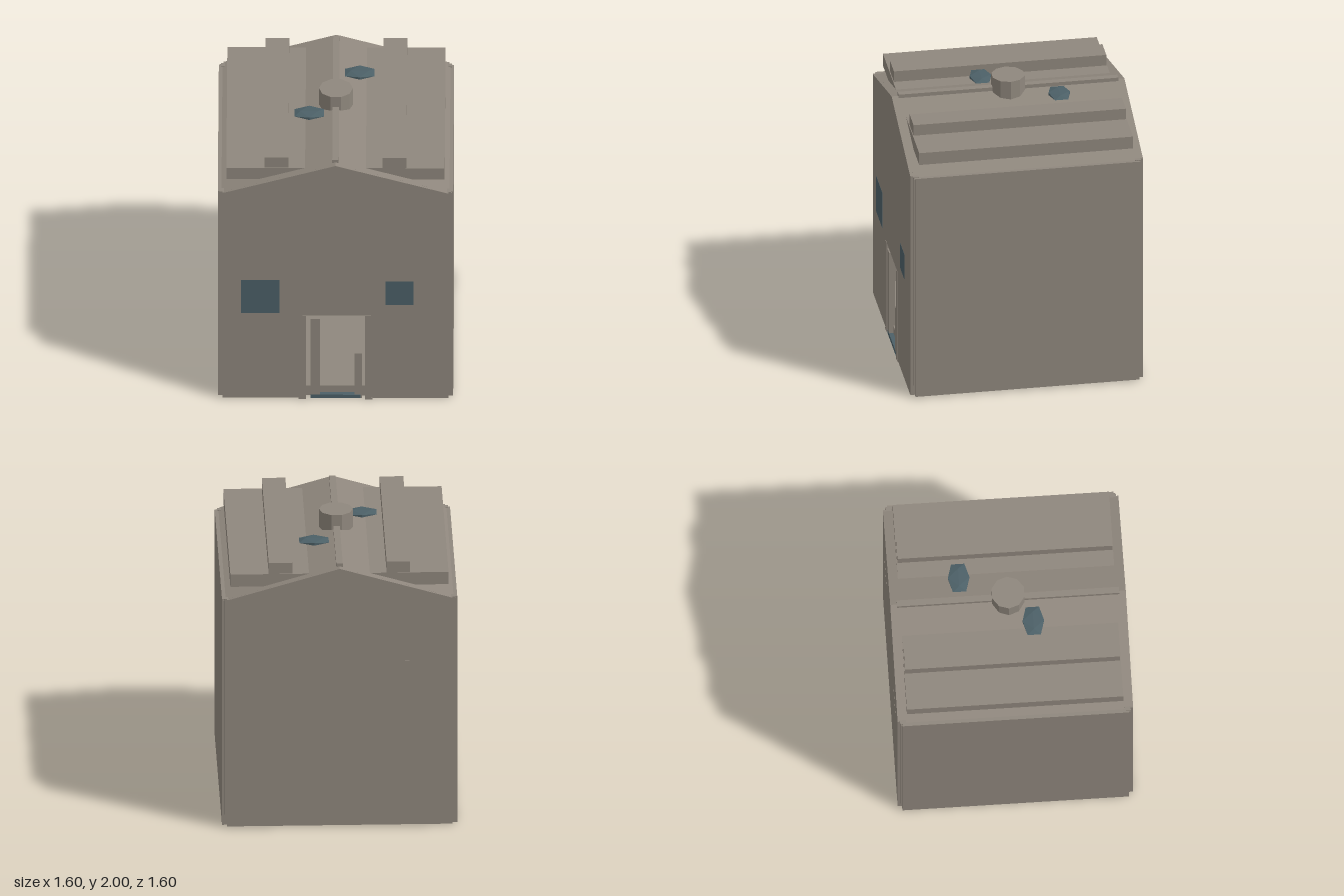
import * as THREE from 'three';

const stone = new THREE.MeshStandardMaterial({ color: 0x8f877d });
stone.name = 'stone';
const slate = new THREE.MeshStandardMaterial({ color: 0x4c6067 });
slate.name = 'slate';
stone.flatShading = slate.flatShading = true;

export function createModel() {
  const model = new THREE.Group();
  model.name = 'house';

  const add = (name, geometry, material = stone) => {
    const mesh = new THREE.Mesh(geometry, material);
    mesh.name = name;
    model.add(mesh);
    return mesh;
  };
  // Box given by its limits on each axis
  const box = (name, [x0, x1], [y0, y1], [z0, z1], material) => {
    const mesh = add(name, new THREE.BoxGeometry(x1 - x0, y1 - y0, z1 - z0), material);
    mesh.position.set((x0 + x1) / 2, (y0 + y1) / 2, (z0 + z1) / 2);
    return mesh;
  };
  // Outline in x and y pushed along z
  const prism = (name, points, z0, z1) => {
    const shape = new THREE.Shape(points.map(([x, y]) => new THREE.Vector2(x, y)));
    const geometry = new THREE.ExtrudeGeometry(shape, { depth: z1 - z0, bevelEnabled: false });
    geometry.translate(0, 0, z0);
    return add(name, geometry);
  };
  // Flat faceted patch
  const patch = (x, y, z, rx, ry, rz) => {
    const mesh = add('patch', new THREE.IcosahedronGeometry(1, 0), slate);
    mesh.scale.set(rx, ry, rz);
    mesh.position.set(x, y, z);
  };

  // Floor and walls, with a doorway cut in the front
  box('floor', [-0.77, 0.77], [0.01, 0.09], [-0.77, 0.77]);
  prism('frontWall', [
    [-0.765, 0.01], [-0.2, 0.01], [-0.2, 0.68], [0.2, 0.68], [0.2, 0.01],
    [0.765, 0.01], [0.765, 1.68], [-0.765, 1.68],
  ], 0.75, 0.8);
  box('backWall', [-0.765, 0.765], [0.01, 1.68], [-0.8, -0.75]);
  for (const s of [-1, 1]) {
    const span = s > 0 ? [0.75, 0.798] : [-0.798, -0.75];
    box('sideWall', span, [0.01, 1.675], [-0.77, 0.77]);
    for (const t of [-1, 1]) {
      const post = box('cornerPost', [-0.02, 0.02], [0.09, 1.68], [-0.02, 0.02]);
      post.position.x = s * 0.763;
      post.position.z = t * 0.763;
    }
  }

  // Doorway: jambs, uneven inner posts and sill
  for (const s of [-1, 1]) {
    const jamb = box('doorJamb', [-0.02, 0.02], [0.003, 0.68], [0.76, 0.803]);
    jamb.position.x = s * 0.22;
    const foot = box('jambFoot', [-0.025, 0.025], [0, 0.012], [0.76, 0.803]);
    foot.position.x = s * 0.225;
  }
  box('tallDoorPost', [-0.17, -0.105], [0.01, 0.65], [0.76, 0.8]);
  box('shortDoorPost', [0.13, 0.18], [0.01, 0.37], [0.76, 0.8]);
  box('doorSill', [-0.17, 0.17], [0.008, 0.035], [0.76, 0.801], slate);

  // Windows as thin plates
  box('leftFrontWindow', [-0.64, -0.38], [0.7, 0.97], [0.795, 0.801], slate);
  box('rightFrontWindow', [0.34, 0.53], [0.77, 0.96], [0.795, 0.801], slate);
  for (const s of [-1, 1]) {
    const shutter = box('backShutter', [-0.1, 0.1], [0.96, 1.22], [-0.801, -0.795]);
    shutter.position.x = s * 0.465;
  }

  // Gabled roof with a wide slab, two beams and a ridge
  prism('roof', [[-0.79, 1.67], [0.79, 1.67], [0, 1.9]], -0.78, 0.78);
  for (const [z0, z1] of [[-0.8, -0.77], [0.77, 0.8]]) {
    prism('gable', [[-0.765, 1.677], [0.765, 1.677], [0, 1.9]], z0, z1);
  }
  box('roofSlab', [-0.74, 0.74], [1.75, 1.84], [-0.735, 0.735]);
  for (const s of [-1, 1]) {
    const beam = box('roofBeam', [-0.08, 0.08], [1.84, 1.92], [-0.73, 0.73]);
    beam.position.x = s * 0.4;
  }
  box('ridgeBeam', [-0.022, 0.022], [1.87, 1.92], [-0.755, 0.755]);

  // Ten-sided chimney
  const chimney = add('chimney', new THREE.CylinderGeometry(0.115, 0.115, 0.2, 10));
  chimney.rotation.y = Math.PI / 10;
  chimney.position.y = 1.9;

  // Loose patches on the roof and under the floor
  patch(0.16, 1.91, -0.325, 0.118, 0.018, 0.086);
  patch(-0.18, 1.905, 0.16, 0.118, 0.018, 0.086);
  patch(-0.55, 1.735, 0.4, 0.07, 0.015, 0.06);
  patch(0.56, 0.012, -0.59, 0.06, 0.008, 0.05);

  return model;
}
